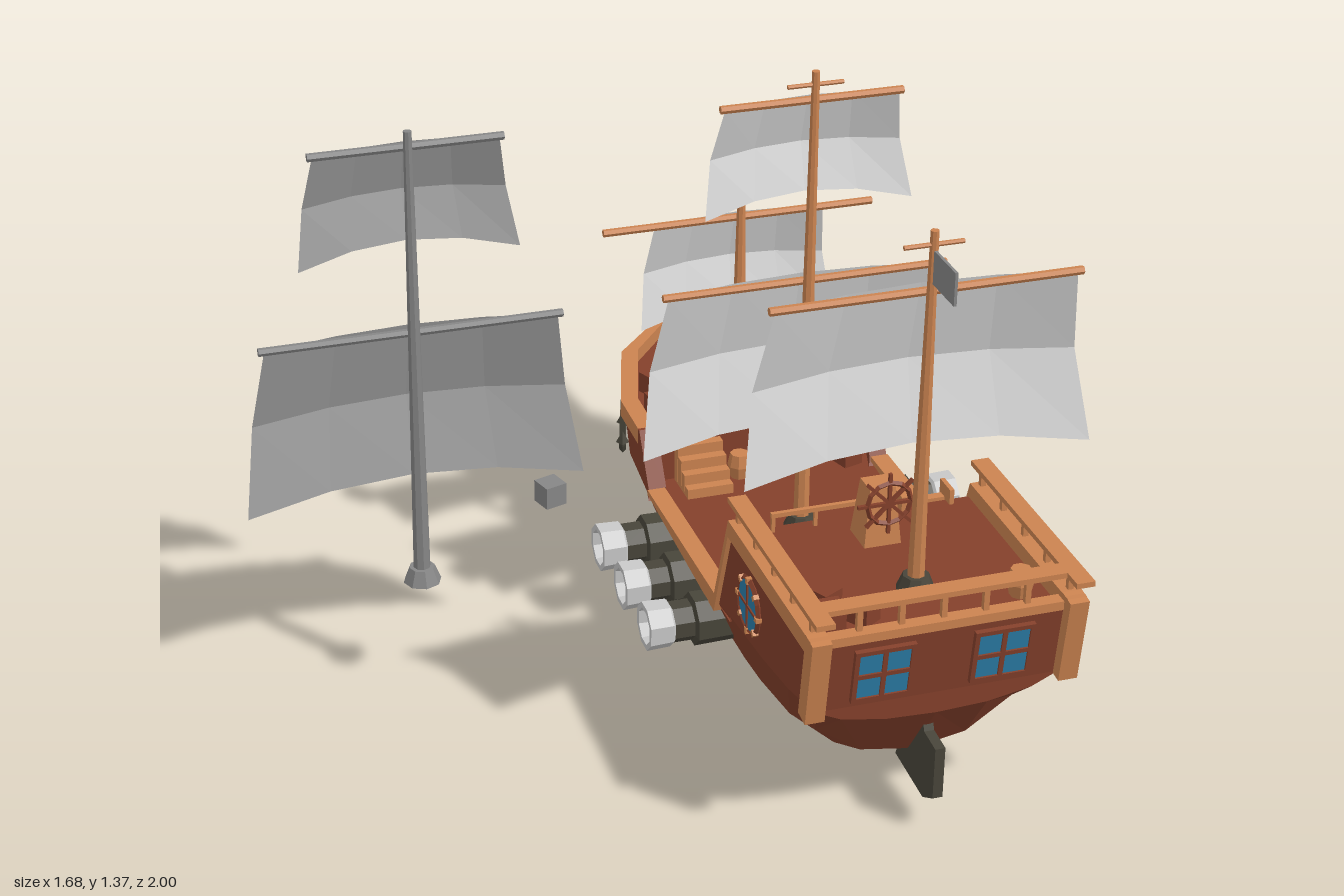
import * as THREE from 'three';

const paint = (name, color, side = THREE.FrontSide) =>
  new THREE.MeshStandardMaterial({ name, color, side, flatShading: true });

export function createModel() {
  const D = THREE.DoubleSide;
  const hullMat = paint('red brown planks', 0x84402b, D);
  const wood = paint('light wood', 0xcb8350);
  const iron = paint('dark iron', 0x48453a);
  const steel = paint('muzzle grey', 0xc8c8c8);
  const cloth = paint('sail cloth', 0xd8d8d8, D);
  const greyCloth = paint('grey cloth', 0x9c9c9c, D);
  const grey = paint('spare grey', 0x868686);
  const glass = paint('blue glass', 0x2b7da8);

  const root = new THREE.Group();
  root.name = 'sailingShip';
  const ship = new THREE.Group();
  ship.name = 'ship';
  ship.position.x = 0.405;
  root.add(ship);

  const add = (parent, name, geo, mat, x = 0, y = 0, z = 0) => {
    const m = new THREE.Mesh(geo, mat);
    m.name = name;
    m.position.set(x, y, z);
    parent.add(m);
    return m;
  };
  const box = (p, name, mat, w, h, d, x, y, z) => add(p, name, new THREE.BoxGeometry(w, h, d), mat, x, y, z);
  const cyl = (p, name, mat, rt, rb, h, x, y, z, n = 8) =>
    add(p, name, new THREE.CylinderGeometry(rt, rb, h, n), mat, x, y, z);

  // Surface through rows of points
  const loft = (rows) => {
    const v = [];
    for (let i = 0; i < rows.length - 1; i++)
      for (let j = 0; j < rows[i].length - 1; j++) {
        const a = rows[i][j], b = rows[i + 1][j], c = rows[i + 1][j + 1], d = rows[i][j + 1];
        v.push(...a, ...b, ...c, ...a, ...c, ...d);
      }
    const g = new THREE.BufferGeometry();
    g.setAttribute('position', new THREE.Float32BufferAttribute(v, 3));
    g.computeVertexNormals();
    return g;
  };

  // Hull stations: z, keel y, wale half width, wale y, top half width, top y, top z
  const stations = [
    [0.93, 0.28, 0.265, 0.33, 0.27, 0.51, 0.955],
    [0.82, 0.12, 0.28, 0.32, 0.28, 0.51, 0.82],
    [0.68, 0.04, 0.284, 0.305, 0.285, 0.51, 0.68],
    [0.5, 0, 0.285, 0.29, 0.285, 0.51, 0.48],
    [0.4, 0, 0.285, 0.275, 0.287, 0.29, 0.4],
    [0.1, 0, 0.285, 0.275, 0.287, 0.29, 0.1],
    [-0.08, 0, 0.285, 0.275, 0.287, 0.29, -0.08],
    [-0.16, 0, 0.283, 0.28, 0.286, 0.4, -0.16],
    [-0.28, 0, 0.275, 0.285, 0.283, 0.4, -0.3],
    [-0.53, 0.08, 0.19, 0.29, 0.21, 0.4, -0.54],
    [-0.64, 0.17, 0.1, 0.295, 0.115, 0.4, -0.645],
    [-0.72, 0.28, 0.012, 0.32, 0.015, 0.4, -0.745],
  ];
  const hullRows = stations.map(([z, k, w, wy, tw, ty, tz]) => {
    const half = [[0.42, 0.1], [0.78, 0.45], [1, 1]].map(([g, f]) => [w * g, k + (wy - k) * f, z]);
    half.push([tw, ty, tz]);
    const mirror = half.map(([x, y, q]) => [-x, y, q]).reverse();
    return [...mirror, [0, k, z], ...half];
  });
  add(ship, 'hull', loft(hullRows), hullMat);
  const sternRow = hullRows[0];
  add(ship, 'transom', loft([
    [0, 1, 2, 3, 4].map((i) => sternRow[i]), [8, 7, 6, 5, 4].map((i) => sternRow[i]),
  ]), hullMat);

  // Decks and bulkheads in one stepped strip
  const deck = [[0.95, 0.49, 0.27], [0.47, 0.49, 0.284], [0.47, 0.27, 0.284], [-0.16, 0.27, 0.28],
    [-0.16, 0.385, 0.28], [-0.3, 0.385, 0.275], [-0.54, 0.385, 0.2], [-0.74, 0.385, 0.012]];
  add(ship, 'decks', loft(deck.map(([z, y, w]) => [[w, y, z], [-w, y, z]])), hullMat);

  // Cap rails: outer x, top y, z, height
  const rail = (name, mat, pts) => [1, -1].forEach((s) => {
    add(ship, name, loft(pts.map(([x, y, z, h]) => {
      const q = Math.max(x - 0.042, 0);
      const ring = [[x, y - h], [x, y], [q, y], [q, y - h], [x, y - h]].map(([a, b]) => [s * a, b, z]);
      return s > 0 ? ring : ring.reverse();
    })), mat);
  });
  rail('sternRail', wood, [[0.295, 0.525, 0.97, 0.04], [0.295, 0.525, 0.475, 0.04],
    [0.295, 0.3, 0.395, 0.045], [0.295, 0.297, -0.08, 0.012]]);
  rail('railStep', hullMat, [[0.292, 0.297, -0.08, 0.03], [0.292, 0.413, -0.155, 0.04]]);
  rail('bowRail', wood, [[0.295, 0.418, -0.155, 0.04], [0.292, 0.418, -0.3, 0.04],
    [0.217, 0.418, -0.54, 0.04], [0.022, 0.418, -0.75, 0.04]]);
  const spar = (w, lo, hi, z) => [[w, lo, z], [w, hi, z], [-w, hi, z], [-w, lo, z], [w, lo, z]];
  add(ship, 'bowsprit', loft([spar(0.024, 0.375, 0.419, -0.735), spar(0.012, 0.392, 0.417, -0.85),
    spar(0.006, 0.405, 0.414, -1), spar(0, 0.41, 0.41, -1)]), wood);

  // Stern posts, upper railing
  for (const s of [1, -1]) {
    const post = box(ship, 'sternPost', wood, 0.042, 0.2, 0.04, s * 0.274, 0.425, 0.95);
    post.rotation.x = 0.138;
    box(ship, 'sideHandrail', wood, 0.04, 0.012, 0.53, s * 0.275, 0.572, 0.735);
    for (let i = 0; i < 5; i++) box(ship, 'baluster', wood, 0.012, 0.05, 0.012, s * 0.275, 0.545, 0.49 + i * 0.11);
  }
  box(ship, 'sternHandrail', wood, 0.59, 0.012, 0.04, 0, 0.572, 0.935);
  box(ship, 'sternSill', wood, 0.51, 0.02, 0.03, 0, 0.502, 0.94);
  for (let i = -2; i <= 2; i++) box(ship, 'baluster', wood, 0.012, 0.06, 0.012, i * 0.09, 0.54, 0.935);

  // Stern windows
  for (const s of [1, -1]) {
    const w = new THREE.Group();
    w.name = 'sternWindow';
    w.position.set(s * 0.128, 0.41, 0.944);
    w.rotation.x = 0.138;
    ship.add(w);
    box(w, 'pane', glass, 0.116, 0.116, 0.008, 0, 0, 0);
    for (const o of [-0.06, 0, 0.06]) {
      box(w, 'windowBar', hullMat, 0.01, 0.13, 0.016, o, 0, 0);
      box(w, 'windowBar', hullMat, 0.13, 0.01, 0.016, 0, o, 0);
    }
    // Round side window
    const r = new THREE.Group();
    r.name = 'roundWindow';
    r.position.set(s * 0.288, 0.39, 0.6);
    r.rotation.y = s * Math.PI / 2;
    ship.add(r);
    cyl(r, 'roundPane', glass, 0.06, 0.06, 0.008, 0, 0, 0, 12).rotation.x = Math.PI / 2;
    add(r, 'roundFrame', new THREE.TorusGeometry(0.06, 0.007, 4, 12), hullMat);
    for (let i = 0; i < 8; i++) {
      const a = i * Math.PI / 4;
      box(r, 'frameStud', wood, 0.014, 0.01, 0.018, 0.06 * Math.cos(a), 0.06 * Math.sin(a), 0).rotation.z = a;
    }
    box(r, 'windowBar', hullMat, 0.11, 0.006, 0.014, 0, 0, 0);
    box(r, 'windowBar', hullMat, 0.006, 0.11, 0.014, 0, 0, 0);
  }

  // Cannons
  const lathe = (pts) => new THREE.LatheGeometry(pts.map(([r, y]) => new THREE.Vector2(r, y)), 8, Math.PI / 8);
  for (const s of [1, -1]) for (const z of [0.335, 0.16, -0.015]) {
    const g = new THREE.Group();
    g.name = 'cannon';
    g.position.set(0, 0.205, z);
    g.rotation.z = -s * Math.PI / 2;
    ship.add(g);
    add(g, 'cannonBarrel', lathe([[0.058, 0.22], [0.06, 0.325], [0.046, 0.33], [0.046, 0.385]]), iron);
    add(g, 'cannonMuzzle', lathe([[0.04, 0.37], [0.053, 0.38], [0.055, 0.433], [0.042, 0.433], [0.036, 0.39], [0, 0.39]]), steel);
  }

  // Rudder
  const rudder = new THREE.Shape([[0.96, 0.09], [0.96, 0.21], [0.9, 0.215], [0.87, 0.28], [0.83, 0.28], [0.76, 0.07], [0.91, 0.06]]
    .map(([z, y]) => new THREE.Vector2(z, y)));
  const rg = new THREE.ExtrudeGeometry(rudder, { depth: 0.022, bevelEnabled: false });
  rg.rotateY(-Math.PI / 2);
  add(ship, 'rudder', rg, iron, 0.011);

  // Billowing sail under a yard
  const sail = (p, mat, yardMat, top, bottom, wTop, wBottom, wYard) => {
    const big = top - bottom > 0.3 ? 1 : 0.75;
    const rows = [0, 0.5, 1].map((v) => [-1, -0.5, 0, 0.5, 1].map((u) => [
      u * (wTop + (wBottom - wTop) * v),
      top + (bottom - top) * v + 0.03 * v * v * (1 - u * u),
      -0.012 - big * (0.042 * (1 - u * u) + 0.045 * Math.sin(Math.PI * v)),
    ]));
    add(p, 'sail', loft(rows), mat);
    cyl(p, 'yard', yardMat, 0.009, 0.009, wYard * 2, 0, top, -0.015, 6).rotation.z = Math.PI / 2;
  };
  const large = [0.315, 0.37, 0.327], small = [0.195, 0.235, 0.205];
  const mast = (parent, name, x, z, base, top, woodMat, footMat, clothMat, sails) => {
    const g = new THREE.Group();
    g.name = name;
    g.position.set(x, 0, z);
    parent.add(g);
    cyl(g, 'mastPole', woodMat, 0.009, 0.019, top - base, 0, (top + base) / 2, 0);
    cyl(g, 'mastFoot', footMat, 0.028, 0.042, 0.035, 0, base + 0.0175, 0);
    for (const [t, b, size] of sails) sail(g, clothMat, woodMat, t, b, ...size);
    return g;
  };
  const crossbar = (g, y) => cyl(g, 'crossbar', wood, 0.005, 0.005, 0.125, 0, y, 0, 6).rotateZ(Math.PI / 2);
  const mainSails = [[1.3, 1.05, small], [0.88, 0.49, large]];
  crossbar(mast(ship, 'mainMast', 0, 0.135, 0.27, 1.37, wood, iron, cloth, mainSails), 1.34);
  const aft = mast(ship, 'aftMast', 0, 0.79, 0.49, 1.29, wood, iron, cloth, [[1.155, 0.77, large]]);
  crossbar(aft, 1.26);
  box(aft, 'flag', grey, 0.006, 0.07, 0.105, 0, 1.215, 0.06);
  crossbar(mast(ship, 'foreMast', 0, -0.31, 0.385, 0.96, wood, iron, cloth, [[0.84, 0.58, [0.205, 0.235, 0.327]]]), 0.93);
  mast(root, 'spareMast', -0.472, 0.135, 0.285, 1.34, grey, grey, greyCloth, mainSails);

  // Helm: stand and spoked wheel
  cyl(ship, 'helmStand', wood, 0.04, 0.058, 0.13, 0, 0.555, 0.57, 4).rotation.y = Math.PI / 4;
  const wheel = new THREE.Group();
  wheel.name = 'steeringWheel';
  wheel.position.set(0, 0.605, 0.635);
  ship.add(wheel);
  add(wheel, 'wheelRim', new THREE.TorusGeometry(0.048, 0.006, 4, 12), hullMat);
  for (let i = 0; i < 4; i++) box(wheel, 'wheelSpoke', hullMat, 0.14, 0.007, 0.008, 0, 0, 0).rotation.z = i * Math.PI / 4;

  // Ladder, deck barrier, and steps to the bow deck
  for (const x of [0.095, 0.205]) box(ship, 'ladderSide', wood, 0.01, 0.25, 0.055, x, 0.4, 0.465);
  for (let i = 0; i < 5; i++) box(ship, 'ladderRung', wood, 0.11, 0.01, 0.02, 0.15, 0.31 + i * 0.045, 0.455);
  box(ship, 'deckBarrier', wood, 0.2, 0.01, 0.01, -0.105, 0.53, 0.49);
  for (const x of [-0.2, -0.105, -0.01]) box(ship, 'baluster', wood, 0.008, 0.04, 0.008, x, 0.51, 0.49);
  for (let i = 0; i < 4; i++)
    box(ship, 'step', wood, 0.11, 0.024 * (4 - i), 0.024, -0.15, 0.27 + 0.012 * (4 - i), -0.146 + i * 0.026);

  // Barrels and crates
  const barrel = lathe([[0, 0], [0.022, 0], [0.028, 0.03], [0.022, 0.06], [0, 0.06]]);
  for (const [x, y, z] of [[0, 0.385, -0.62], [0.115, 0.385, -0.5], [0.085, 0.385, -0.44], [0.155, 0.385, -0.44],
    [-0.055, 0.27, -0.13], [0.195, 0.49, 0.87]]) add(ship, 'barrel', barrel, wood, x, y, z);
  for (const [x, y, z, a] of [[-0.185, 0.385, -0.38, 0.4], [-0.21, 0.385, -0.27, 0.1], [0.21, 0.27, -0.12, 0.3],
    [-0.205, 0.49, 0.81, 0.5], [-0.145, 0.49, 0.87, 0.6], [-0.215, 0.49, 0.87, 0]])
    box(ship, 'crate', hullMat, 0.05, 0.05, 0.05, x, y + 0.025, z).rotation.y = a;
  add(root, 'spareBarrel', lathe([[0, 0], [0.029, 0], [0.033, 0.032], [0.029, 0.065], [0, 0.065]]), grey, -0.225, 0.375, -0.495);
  box(root, 'spareCrate', grey, 0.053, 0.053, 0.053, -0.11, 0.307, -0.12).rotation.y = 0.3;

  // Bow anchor
  const anchor = new THREE.Group();
  anchor.name = 'anchor';
  anchor.position.set(-0.25, 0.29, -0.42);
  anchor.rotation.y = Math.atan2(-0.25, -0.08);
  ship.add(anchor);
  box(anchor, 'anchorShank', iron, 0.012, 0.12, 0.012, 0, 0, 0);
  box(anchor, 'anchorStock', iron, 0.06, 0.012, 0.012, 0, 0.035, 0);
  add(anchor, 'anchorRing', new THREE.TorusGeometry(0.014, 0.004, 4, 8), iron, 0, 0.072, 0);
  add(anchor, 'anchorArms', new THREE.TorusGeometry(0.05, 0.008, 4, 8, Math.PI), iron, 0, -0.015, 0).rotation.z = Math.PI;
  for (const s of [1, -1]) cyl(anchor, 'anchorFluke', iron, 0, 0.016, 0.03, s * 0.05, -0.01, 0, 4);

  return root;
}
